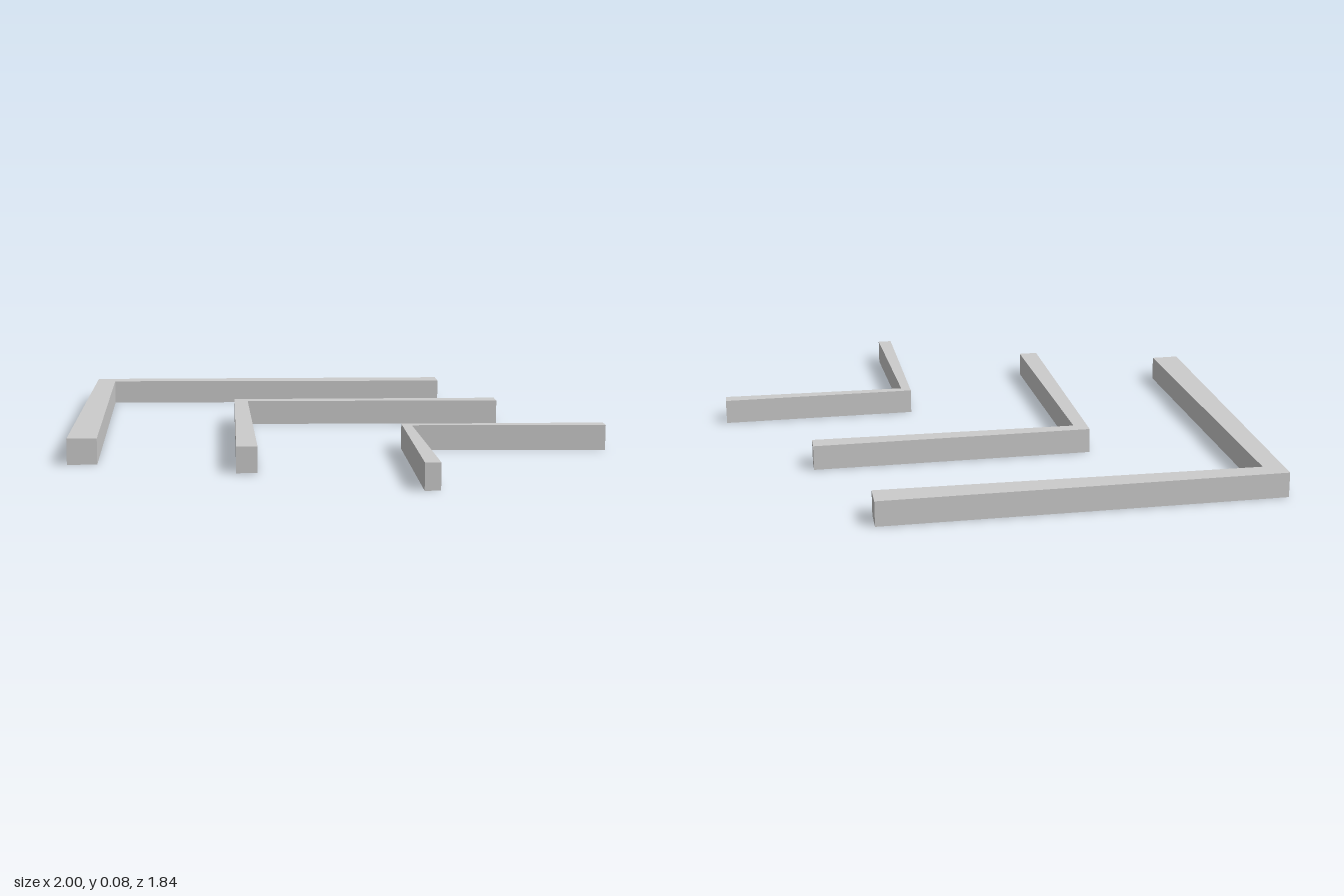
import * as THREE from 'three';

const HEIGHT = 0.082;

// A V-shaped bar: outer and inner tips on the centre line, arms mirrored in z.
function chevron(name, { tip, innerTip, outerEnd, innerEnd, z }, material) {
  const half = [outerEnd, innerEnd];
  const outline = [
    [tip, 0],
    ...half.map(([x, d]) => [x, -d]),
    [innerTip, 0],
    ...half.map(([x, d]) => [x, d]).reverse(),
  ];
  const shape = new THREE.Shape(outline.map(([x, y]) => new THREE.Vector2(x, y)));
  const geometry = new THREE.ExtrudeGeometry(shape, { depth: HEIGHT, bevelEnabled: false });
  geometry.rotateX(-Math.PI / 2); // lay flat, thickness rising from the ground
  const mesh = new THREE.Mesh(geometry, material);
  mesh.name = name;
  mesh.position.z = z;
  return mesh;
}

export function createModel() {
  const group = new THREE.Group();
  group.name = 'chevrons';
  const material = new THREE.MeshStandardMaterial({ color: 0xcccccc, flatShading: true });

  // Three nested chevrons, shrinking towards +x
  group.add(
    chevron('largeChevron', { tip: -1, innerTip: -0.905, outerEnd: [-0.08, 0.92], innerEnd: [-0.015, 0.853], z: 0 }, material),
    chevron('middleChevron', { tip: -0.26, innerTip: -0.195, outerEnd: [0.395, 0.654], innerEnd: [0.44, 0.608], z: 0.003 }, material),
    chevron('smallChevron', { tip: 0.502, innerTip: 0.546, outerEnd: [0.967, 0.466], innerEnd: [1, 0.432], z: 0.004 }, material),
  );
  return group;
}
